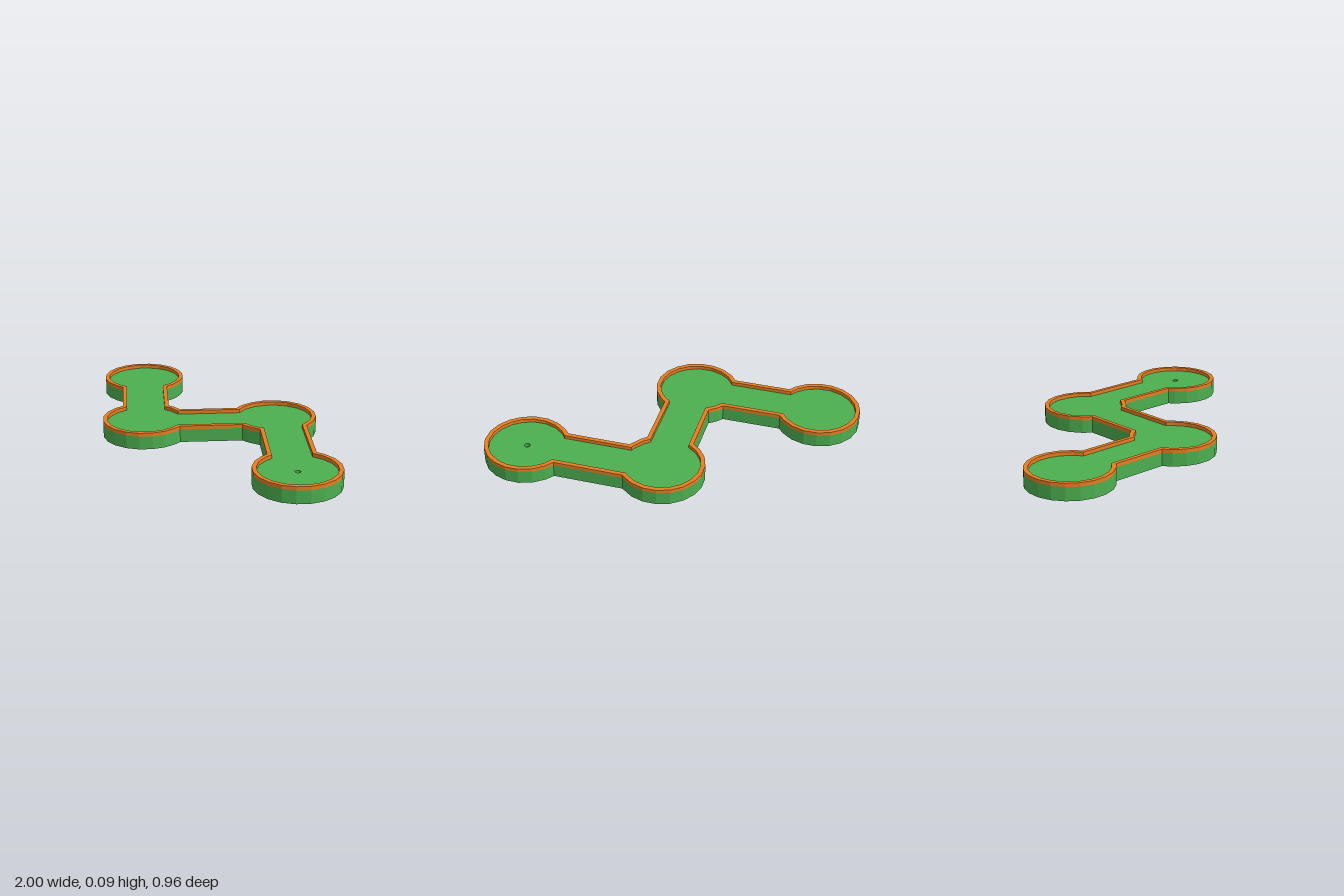
import * as THREE from 'three';

// Round greens (plan coordinates: x, -z) and the 45 degree lanes linking them
const nodes = [[-0.77, 0.25], [-0.28, -0.25], [0.22, 0.25], [0.77, -0.25]];
const lanes = [[-0.52, -Math.PI / 4], [-0.018, Math.PI / 4], [0.512, -Math.PI / 4]]; // axis x at z = 0, heading
const STEP = Math.PI / 10; // 20-sided circles
const BASE = 0.072, TOP = 0.092;

// Angle on the circle of node i where one edge of the lane to node j meets it
function mouth(i, j, side, r, half) {
  const [laneX, heading] = lanes[Math.min(i, j)];
  const a = j > i ? heading : heading + Math.PI;
  const offset = -(laneX - nodes[i][0]) * Math.sin(a) - nodes[i][1] * Math.cos(a);
  return a + Math.asin((offset + side * half) / r);
}

// Outline of the whole course, walked counter-clockwise
function outline(r, half) {
  const walk = [0, 1, 2, 3, 2, 1];
  const points = [];
  walk.forEach((n, k) => {
    const prev = walk[(k + 5) % 6], next = walk[(k + 1) % 6];
    const start = mouth(n, prev, 1, r, half);
    let end = mouth(n, next, -1, r, half);
    while (end <= start) end += 2 * Math.PI;
    while (end > start + 2 * Math.PI) end -= 2 * Math.PI;
    const angles = [start];
    for (let m = Math.floor(start / STEP) + 1; m * STEP < end - 0.01; m++) {
      if (m * STEP > start + 0.01) angles.push(m * STEP);
    }
    angles.push(end);
    for (const a of angles) {
      points.push(new THREE.Vector2(nodes[n][0] + r * Math.cos(a), nodes[n][1] + r * Math.sin(a)));
    }
  });
  return points;
}

function slab(name, points, hole, y0, y1, material) {
  const shape = new THREE.Shape(points);
  shape.holes.push(hole);
  const geometry = new THREE.ExtrudeGeometry(shape, { depth: y1 - y0, bevelEnabled: false, curveSegments: 6 });
  geometry.rotateX(-Math.PI / 2).translate(0, y0, 0);
  const mesh = new THREE.Mesh(geometry, material);
  mesh.name = name;
  return mesh;
}

export function createModel() {
  const group = new THREE.Group();
  group.name = 'miniGolfCourse';
  const green = new THREE.MeshStandardMaterial({ color: 0x4caf50, flatShading: true });
  const orange = new THREE.MeshStandardMaterial({ color: 0xe67e22, flatShading: true });
  const outer = outline(0.23, 0.128);
  const inner = outline(0.206, 0.105);
  const [cupX, cupY] = nodes[3];

  // Playing surface with the cup sunk into the last green
  const cup = new THREE.Path().absarc(cupX, cupY, 0.016, 0, 2 * Math.PI, true);
  group.add(slab('course', outer, cup, 0, BASE, green));
  const cupFloor = new THREE.Mesh(new THREE.CylinderGeometry(0.016, 0.016, 0.05, 12), green);
  cupFloor.position.set(cupX, 0.025, -cupY);
  cupFloor.name = 'cupFloor';
  group.add(cupFloor);

  // Raised border around the edge
  group.add(slab('border', outer, new THREE.Path(inner), BASE, TOP, orange));
  return group;
}
